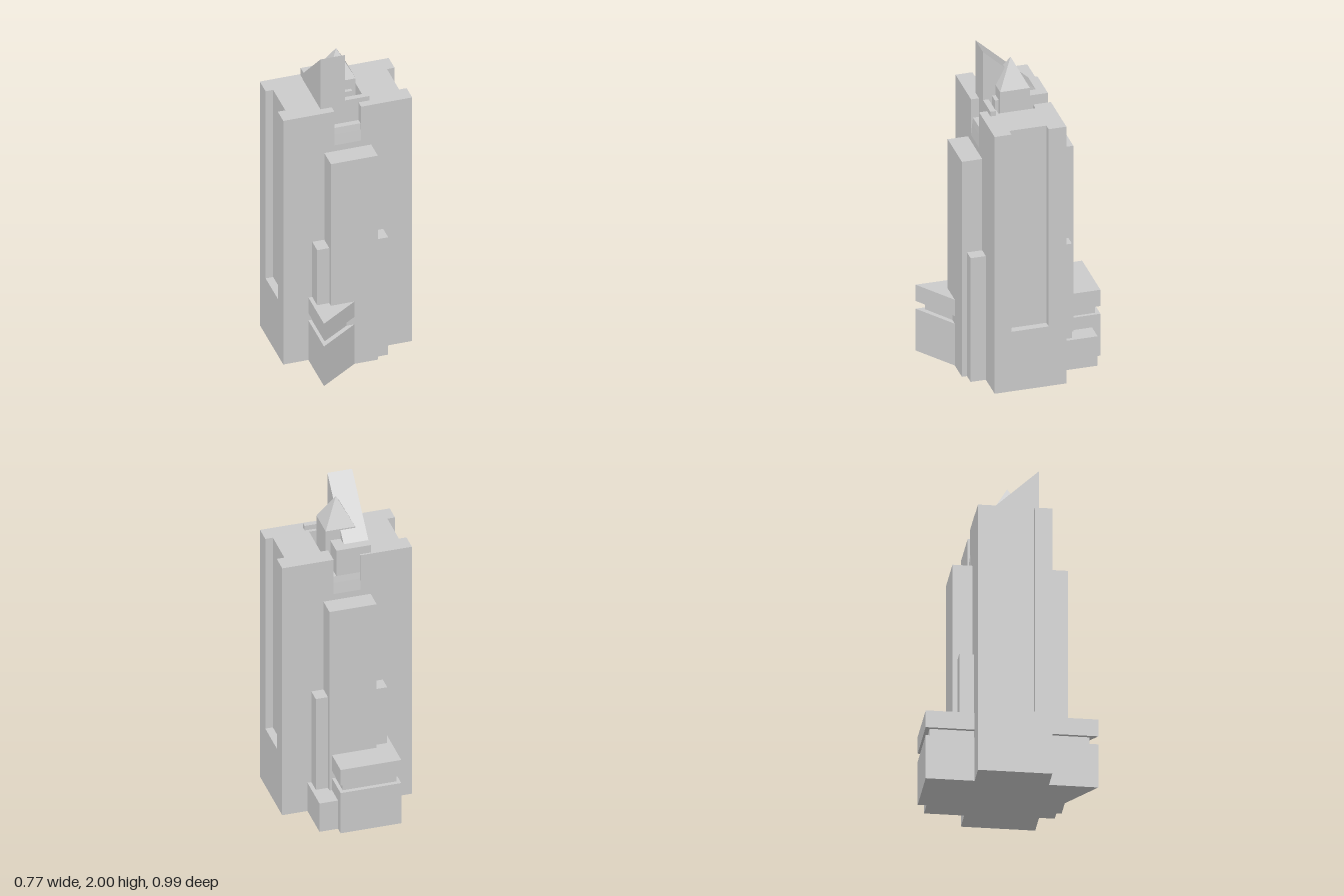
import * as THREE from 'three';

const mat = new THREE.MeshStandardMaterial({ color: 0xcccccc, flatShading: true });

export function createModel() {
  const model = new THREE.Group();

  const add = (name, geo) => {
    const m = new THREE.Mesh(geo, mat);
    m.name = name;
    model.add(m);
    return m;
  };
  const shapeOf = (pts) => new THREE.Shape(pts.map(([a, b]) => new THREE.Vector2(a, b)));

  // box given by its limits
  const box = (name, x0, x1, y0, y1, z0, z1) => {
    const g = new THREE.BoxGeometry(x1 - x0, y1 - y0, z1 - z0);
    g.translate((x0 + x1) / 2, (y0 + y1) / 2, (z0 + z1) / 2);
    return add(name, g);
  };
  // floor plan of [x, z] points raised from y0 to y1
  const prism = (name, plan, y0, y1) => {
    const g = new THREE.ExtrudeGeometry(shapeOf(plan), { depth: y1 - y0, bevelEnabled: false });
    g.rotateX(Math.PI / 2).translate(0, y1, 0);
    return add(name, g);
  };
  // side profile of [z, y] points drawn out from x0 to x1
  const profile = (name, pts, x0, x1) => {
    const g = new THREE.ExtrudeGeometry(shapeOf(pts), { depth: x1 - x0, bevelEnabled: false });
    g.rotateY(-Math.PI / 2).translate(x1, 0, 0);
    return add(name, g);
  };

  // main tower: solid base, then a shaft with a tall recess in each side
  const W = 0.385, B = -0.215, F = 0.21, R = 0.11, D = 0.34;
  box('towerBase', -W, W, 0, 0.385, B, F);
  prism('towerShaft', [
    [-W, B], [W, B], [W, -R], [D, -R], [D, R], [W, R], [W, F],
    [-W, F], [-W, R], [-D, R], [-D, -R], [-W, -R],
  ], 0.385, 1.43);

  // two crown halves around the sunken roof
  for (const s of [1, -1]) {
    prism('towerCrown', [
      [0.08, B], [W, B], [W, -R], [D, -R], [D, R], [W, R], [W, F],
      [0.08, F], [0.08, R], [0.125, R], [0.125, -R], [0.08, -R],
    ].map(([x, z]) => [s * x, z]), 1.43, 1.66);
  }

  // sunken roof floor with tapered sills in the notches
  profile('sunkenRoof', [
    [B, 1.43], [F, 1.43], [0.203, 1.5], [0.198, 1.54], [-0.203, 1.54], [-0.208, 1.5],
  ], -0.08, 0.08);
  box('roofPocketFloor', -0.125, 0.125, 1.43, 1.54, -R, R);

  // stepped slabs on the front and back
  for (const s of [1, -1]) {
    const slab = (name, x, y, z) =>
      box(name, -x, x, 0, y, Math.min(s * 0.2, s * z), Math.max(s * 0.2, s * z));
    slab('tallSlab', 0.14, 1.39, 0.33);
    slab('lowSlab', 0.212, 0.8, 0.3);
  }

  // rear wing with a shadow gap, and a low annex beside it
  box('rearWing', -0.235, 0.125, 0, 0.27, -0.495, -0.2);
  box('rearWingNeck', -0.215, 0.105, 0.27, 0.32, -0.47, -0.2);
  box('rearWingCap', -0.235, 0.125, 0.32, 0.425, -0.495, -0.2);
  box('rearAnnex', 0.1, 0.235, 0, 0.19, -0.445, -0.2);

  // wedge-shaped front wing with the same gap
  const wing = [[-0.235, 0.2], [0, 0.2], [0, 0.33], [-0.235, 0.492]];
  const neck = [[-0.215, 0.2], [-0.04, 0.2], [-0.04, 0.325], [-0.215, 0.443]];
  prism('frontWing', wing, 0, 0.27);
  prism('frontWingNeck', neck, 0.27, 0.32);
  prism('frontWingCap', wing, 0.32, 0.425);

  // rooftop: plinth, parapet, sloped fin
  box('roofPlinth', -0.145, 0.06, 1.54, 1.71, -0.203, 0.11);
  box('roofParapet', -0.005, 0.145, 1.54, 1.69, 0.13, 0.163);
  profile('roofFin', [[-0.16, 1.54], [0.163, 1.54], [0.163, 2], [-0.16, 1.7]], -0.147, 0);

  // square turret with a pyramid roof
  box('turret', -0.088, 0.088, 1.54, 1.775, -0.088, 0.088);
  const spire = new THREE.ConeGeometry(0.088 * Math.SQRT2, 0.17, 4);
  spire.rotateY(Math.PI / 4).translate(0, 1.86, 0);
  add('turretSpire', spire);

  return model;
}
